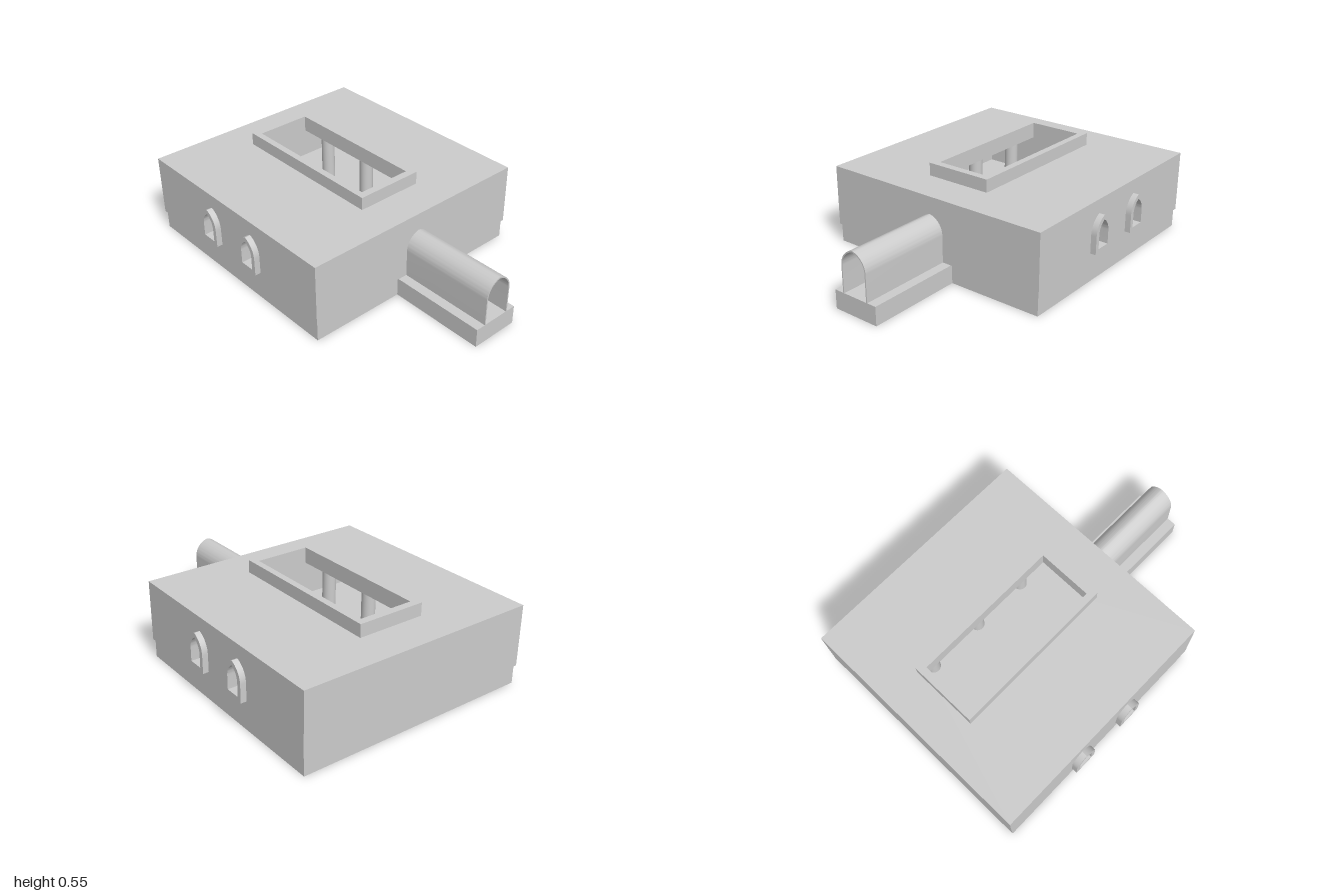
import * as THREE from 'three';
import { toCreasedNormals } from 'three/addons/utils/BufferGeometryUtils.js';

const material = new THREE.MeshStandardMaterial({ color: 0xcccccc });

// Building footprint and levels
const CX = -0.284, HALF = 0.716, FLOOR = 0.11, ROOF = 0.472, WALL = 0.03, SLAB = 0.02;

// Pointed arch outline: from bottom right, over the apex, to bottom left
function archPoints(w, y0, spring, apex, steps = 12) {
  const h = apex - spring;
  const R = (w * w + h * h) / (2 * w);
  const end = Math.asin(Math.min(1, h / R));
  const right = [new THREE.Vector2(w, y0)];
  for (let i = 0; i <= steps; i++) {
    const a = (end * i) / steps;
    right.push(new THREE.Vector2(w - R + R * Math.cos(a), spring + R * Math.sin(a)));
  }
  const left = right.slice(0, -1).reverse().map((p) => new THREE.Vector2(-p.x, p.y));
  return [...right, ...left];
}

const shift = (points, dx) => points.map((p) => new THREE.Vector2(p.x + dx, p.y));

const rect = (w, h) => [[-w, -h], [w, -h], [w, h], [-w, h]].map(([x, y]) => new THREE.Vector2(x, y));

function extrude(points, holes, depth) {
  const shape = new THREE.Shape(points);
  for (const hole of holes) shape.holes.push(new THREE.Path(hole));
  const geometry = new THREE.ExtrudeGeometry(shape, { depth, bevelEnabled: false });
  return toCreasedNormals(geometry, 0.5);
}

function add(parent, name, geometry, x = 0, y = 0, z = 0) {
  const mesh = new THREE.Mesh(geometry, material);
  mesh.name = name;
  mesh.position.set(x, y, z);
  parent.add(mesh);
  return mesh;
}

export function createModel() {
  const model = new THREE.Group();
  model.name = 'hall';

  // Plinths under the hall and the entrance passage
  add(model, 'hallBase', new THREE.BoxGeometry(1.414, FLOOR, 1.414), CX, FLOOR / 2, 0);
  add(model, 'passageBase', new THREE.BoxGeometry(0.577, FLOOR, 0.284), 0.7115, FLOOR / 2, 0);

  // Front and back walls with two window openings each, and raised frames
  const windowXs = [-0.177, 0.177];
  const opening = archPoints(0.045, 0.205, 0.285, 0.362);
  const frameOutline = archPoints(0.071, 0.18, 0.285, 0.39);
  const wallTop = ROOF - SLAB;
  const wallOutline = (h) => [
    new THREE.Vector2(h, FLOOR), new THREE.Vector2(h, wallTop),
    new THREE.Vector2(-h, wallTop), new THREE.Vector2(-h, FLOOR),
  ];
  const windowWall = extrude(wallOutline(HALF), windowXs.map((x) => shift(opening, x)), WALL);
  const frame = extrude(frameOutline, [opening], 0.034);
  for (const [side, angle] of [['front', 0], ['back', Math.PI]]) {
    const group = new THREE.Group();
    group.name = side + 'Side';
    group.position.x = CX;
    group.rotation.y = angle;
    add(group, side + 'Wall', windowWall, 0, 0, HALF - WALL);
    for (const x of windowXs) add(group, side + 'WindowFrame', frame, x, 0, HALF);
    model.add(group);
  }

  // Plain end wall, and end wall with the pointed doorway
  const inner = HALF - WALL;
  const door = archPoints(0.078, FLOOR, 0.268, 0.362, 20);
  const plainWall = extrude(wallOutline(inner), [], WALL);
  const doorWall = extrude([...wallOutline(inner), ...[...door].reverse()], [], WALL);
  add(model, 'plainEndWall', plainWall, CX - HALF).rotation.y = Math.PI / 2;
  add(model, 'doorEndWall', doorWall, CX + inner).rotation.y = Math.PI / 2;

  // Vaulted passage: a thin pointed barrel
  const vaultOuter = archPoints(0.085, FLOOR, 0.268, 0.37, 20);
  const vault = extrude([...vaultOuter, ...[...door].reverse()], [], 1 - (CX + HALF));
  add(model, 'passageVault', vault, CX + HALF).rotation.y = Math.PI / 2;

  // Roof slab with a skylight opening and its raised curb
  const skylight = rect(0.443, 0.163);
  const roof = add(model, 'roof', extrude(rect(HALF, HALF), [skylight], SLAB), CX, ROOF - SLAB);
  const curb = add(model, 'skylightCurb', extrude(rect(0.487, 0.202), [skylight], 0.075), CX, ROOF);
  roof.rotation.x = curb.rotation.x = -Math.PI / 2;

  // Two rows of columns inside, beside the skylight
  const column = new THREE.CylinderGeometry(0.04, 0.04, wallTop - FLOOR, 24);
  for (const z of [-0.27, 0.27]) {
    for (const dx of [-0.355, 0, 0.355]) add(model, 'column', column, CX + dx, (wallTop + FLOOR) / 2, z);
  }

  return model;
}
